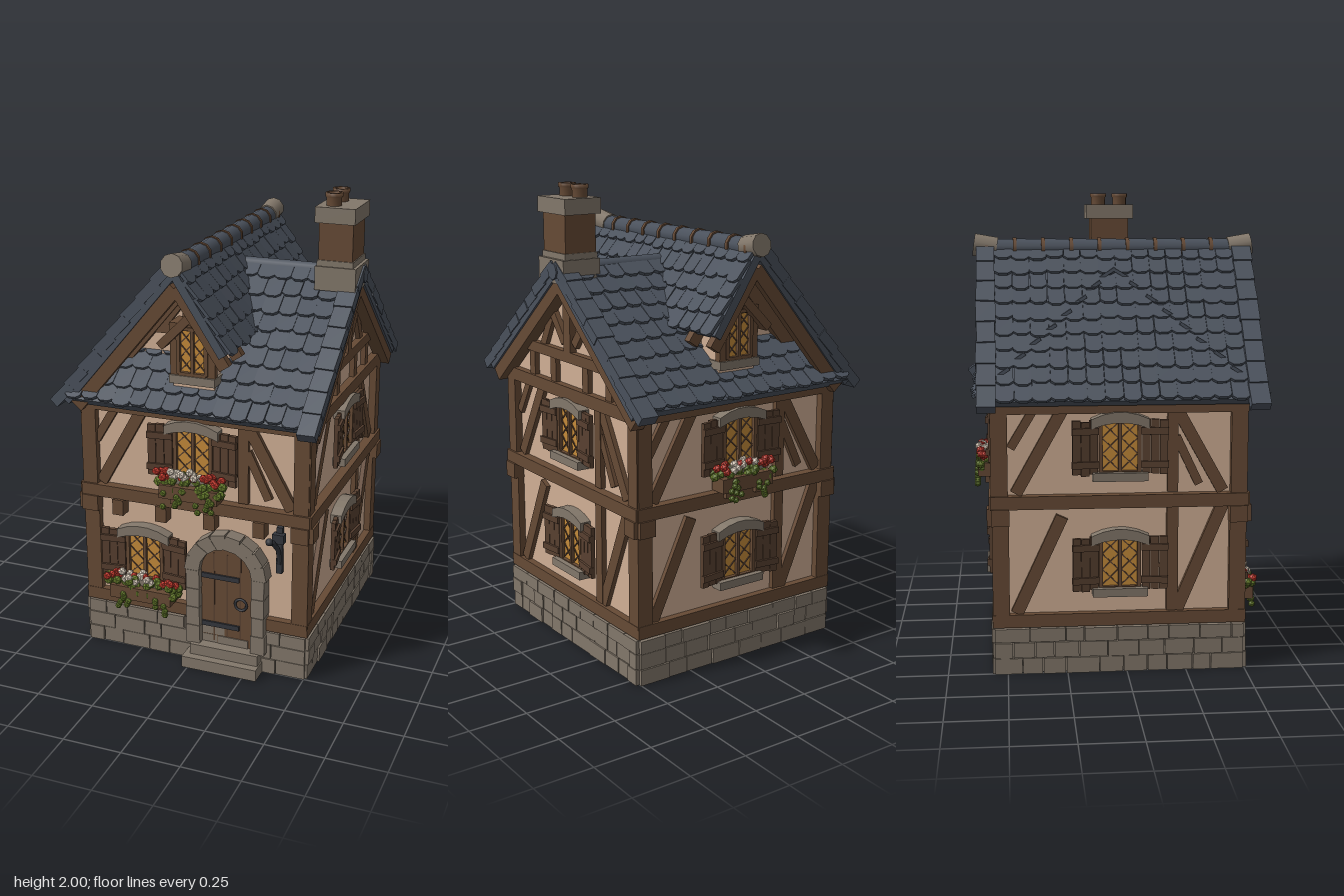
import * as THREE from 'three';
import { mergeGeometries } from 'three/addons/utils/BufferGeometryUtils.js';

const paint = (name, color) => Object.assign(new THREE.MeshStandardMaterial({ color }), { name });
const M = {
  plaster: paint('plaster', 0xd0af95), timber: paint('timber', 0x664a35), stone: paint('stone', 0x82776a),
  slate: paint('slate', 0x4a515c), plank: paint('plank', 0x584030), glass: paint('glass', 0xc48a3a),
  leaf: paint('leaf', 0x667c2c), red: paint('red petal', 0xc0382c), white: paint('white petal', 0xdccfbe),
  iron: paint('iron', 0x34363c),
};
let seed = 7;
const rnd = () => (seed = (seed * 16807) % 2147483647) / 2147483647;
const jit = (a) => (rnd() - 0.5) * 2 * a;

function add(parent, name, geo, mat, x = 0, y = 0, z = 0, rx = 0, ry = 0, rz = 0) {
  const m = new THREE.Mesh(geo, mat);
  m.name = name;
  m.position.set(x, y, z);
  m.rotation.set(rx, ry, rz);
  parent.add(m);
  return m;
}
const box = (p, name, mat, x, y, z, w, h, d, rx, ry, rz) => add(p, name, new THREE.BoxGeometry(w, h, d), mat, x, y, z, rx, ry, rz);
function group(parent, name, x = 0, y = 0, z = 0, ry = 0) {
  const g = new THREE.Group();
  g.name = name;
  g.position.set(x, y, z);
  g.rotation.y = ry;
  parent.add(g);
  return g;
}
// Timber laid on a wall between two points
function beam(p, x1, y1, x2, y2, w = 0.05, d = 0.03, z = 0, mat = M.timber) {
  const len = Math.hypot(x2 - x1, y2 - y1);
  return box(p, 'timber', mat, (x1 + x2) / 2, (y1 + y2) / 2, z + d / 2, len, w, d, 0, 0, Math.atan2(y2 - y1, x2 - x1));
}
const prism = (pts, depth) => new THREE.ExtrudeGeometry(new THREE.Shape(pts.map(([x, y]) => new THREE.Vector2(x, y))), { depth, bevelEnabled: false });

// Leaded pane in a wooden frame
function pane(p, x, y, w, h, z) {
  box(p, 'glass', M.glass, x, y, z, w, h, 0.008);
  for (const s of [-1, 1]) {
    box(p, 'windowFrame', M.timber, x + s * w / 2, y, z + 0.008, 0.016, h, 0.024);
    box(p, 'windowFrame', M.timber, x, y + s * h / 2, z + 0.008, w, 0.014, 0.024);
    for (let i = -1; i <= 1; i++) for (const k of [-1, 1]) {
      const cx = x + k * w * 0.25, cy = y + i * h * 0.3;
      beam(p, cx - s * w * 0.2, cy - h * 0.14, cx + s * w * 0.2, cy + h * 0.14, 0.005, 0.004, z + 0.004, M.plank);
    }
  }
  box(p, 'mullion', M.timber, x, y, z + 0.008, 0.014, h, 0.02);
}
function flowerBox(p, x, y, w) {
  const g = group(p, 'flowerBox', x, y, 0.05);
  box(g, 'trough', M.timber, 0, 0, 0, w * 0.84, 0.06, 0.08);
  for (const s of [-1, 1]) box(g, 'bracket', M.timber, s * w * 0.25, -0.045, -0.02, 0.03, 0.04, 0.06);
  const blobs = { leaf: [], red: [], white: [] };
  for (let i = 0; i < 44; i++) {
    const u = ((i + 0.5) / 44 - 0.5) * w;
    blobs.leaf.push(new THREE.IcosahedronGeometry(0.021, 0).translate(u, 0.005 + rnd() * 0.055, jit(0.036)));
  }
  // Red blooms gather at both ends, pale ones in the middle
  for (let i = 0; i < 26; i++) {
    const k = (i + 0.5) / 26 - 0.5, kind = k > 0.16 || k < -0.34 ? 'red' : i % 5 === 4 ? 'red' : 'white';
    blobs[kind].push(new THREE.IcosahedronGeometry(0.019, 0).translate(k * w * 0.94, 0.048 + rnd() * 0.04, 0.012 + jit(0.026)));
  }
  for (let i = 0; i < 14; i++) blobs.leaf.push(new THREE.IcosahedronGeometry(0.015, 0).translate((i % 2 ? 1 : -1) * w * 0.24 + jit(0.04), -0.005 - i * 0.005, 0.043));
  for (const k in blobs) add(g, k === 'leaf' ? 'leaves' : k + 'Flowers', mergeGeometries(blobs[k]), M[k]);
}
function windowUnit(p, x, y, flowers = 0) {
  const g = group(p, 'window', x, y, 0);
  pane(g, 0, 0, 0.16, 0.22, 0.012);
  const arch = new THREE.Shape();
  arch.moveTo(-0.12, 0.075);
  arch.lineTo(-0.12, 0.115);
  arch.quadraticCurveTo(0, 0.175, 0.12, 0.115);
  arch.lineTo(0.12, 0.075);
  arch.quadraticCurveTo(0, 0.125, -0.12, 0.075);
  add(g, 'lintel', new THREE.ExtrudeGeometry(arch, { depth: 0.05, bevelEnabled: false, curveSegments: 5 }), M.stone);
  box(g, 'sill', M.stone, 0, -0.125, 0.028, 0.23, 0.035, 0.056);
  for (const s of [-1, 1]) {
    const sh = group(g, 'shutter', s * 0.145, -0.005, 0.03, s * -0.12);
    for (let i = -1; i <= 1; i++) box(sh, 'shutterBoard', M.plank, i * 0.036, jit(0.006), 0, 0.034, 0.225, 0.018);
    for (const v of [-0.07, 0.07]) box(sh, 'shutterBatten', M.plank, 0, v, 0.01, 0.112, 0.028, 0.018);
  }
  if (flowers) flowerBox(g, 0, -0.165, flowers);
}
// Rough masonry facing in three courses
function stoneCourses(p, w) {
  const h = [0.07, 0.068, 0.06];
  let y = 0;
  h.forEach((c) => {
    for (let u = -w / 2; u < w / 2 - 0.001;) {
      let l = 0.07 + rnd() * 0.08;
      if (w / 2 - u - l < 0.05) l = w / 2 - u;
      box(p, 'stoneBlock', M.stone, u + l / 2, y + c / 2, 0.012 + rnd() * 0.008, l - 0.004, c - 0.003, 0.04);
      u += l;
    }
    y += c;
  });
}
// Slate slope: local x along the eave, y up the slope, z outward
function slope(root, name, [ex, ey, ez], ry, run, rise, bottom, top, verges = []) {
  const holder = group(root, name, ex, ey, ez, ry);
  const g = group(holder, 'slope');
  g.rotation.x = -Math.atan2(run, rise);
  const L = Math.hypot(run, rise);
  add(g, 'roofDeck', prism([[bottom[0], 0], [bottom[1], 0], [top[1], L], [top[0], L]], 0.035), M.slate, 0, 0, -0.035);
  const tiles = [], rows = Math.round(L / 0.083), step = L / rows;
  for (let r = 0; r < rows; r++) {
    const k = r / rows, a = bottom[0] + (top[0] - bottom[0]) * k, b = bottom[1] + (top[1] - bottom[1]) * k;
    const n = Math.round((b - a) / 0.075), w = (b - a) / n;
    for (let i = 0; i < n; i++) {
      const hw = w * (0.47 + rnd() * 0.05), t = step + 0.01, c = -0.01 + jit(0.008);
      const geo = prism([[-hw, c + 0.014], [-hw * 0.5, c], [hw * 0.5, c], [hw, c + 0.014], [hw, t], [-hw, t]], 0.014);
      geo.rotateX(-0.14 + jit(0.03));
      tiles.push(geo.translate(a + (i + 0.5) * w, r * step, 0.012));
    }
  }
  add(g, 'slates', mergeGeometries(tiles), M.slate);
  // Raised slates along the verges
  const n = Math.round(L / 0.1), vl = (L + 0.04) / n;
  for (const u of verges) {
    for (let i = 0; i < n; i++) box(g, 'vergeSlate', M.slate, u, (i + 0.5) * vl - 0.04, 0.012, 0.08 + jit(0.006), vl + 0.012, 0.045, -0.07, 0, jit(0.03));
  }
}

export function createModel() {
  const root = new THREE.Group();
  root.name = 'cottage';
  box(root, 'walls', M.plaster, 0, 0.63, -0.03, 0.96, 1.06, 1);
  box(root, 'foundation', M.stone, 0, 0.1, -0.03, 0.98, 0.2, 1.02);

  // Four timbered wall faces
  const faces = [['front', 0, 0, 0.47, 0, 0.48], ['right', 0.48, 0, -0.03, Math.PI / 2, 0.5],
    ['back', 0, 0, -0.53, Math.PI, 0.48], ['left', -0.48, 0, -0.03, -Math.PI / 2, 0.5]];
  const F = {};
  for (const [name, x, y, z, ry, h] of faces) {
    const f = F[name] = group(root, name + 'Wall', x, y, z, ry);
    const front = name === 'front';
    stoneCourses(f, h * 2 + 0.05);
    if (!front) beam(f, -h - 0.03, 0.23, h + 0.03, 0.23, 0.055, 0.032);
    else for (const [a, b] of [[-h - 0.03, -0.02], [0.33, h + 0.03]]) beam(f, a, 0.23, b, 0.23, 0.055, 0.032);
    beam(f, -h - 0.035, 0.735, h + 0.035, 0.735, 0.055, 0.042);
    beam(f, -h - 0.03, 1.13, h + 0.03, 1.13, 0.055, 0.034);
    for (const s of [-1, 1]) {
      box(f, 'cornerPost', M.timber, s * (h - 0.005), 0.48, 0.005, 0.07, 0.48, 0.05);
      box(f, 'cornerPost', M.timber, s * (h - 0.005), 0.93, 0.005, 0.065, 0.4, 0.055);
      box(f, 'postCorbel', M.timber, s * (h - 0.005), 0.675, 0.02, 0.075, 0.07, 0.06);
      beam(f, s * 0.43, 0.77, s * 0.24, 1.11, 0.05, 0.02);
      if (!front) beam(f, s * 0.43, s < 0 ? 0.26 : 0.71, s * 0.24, s < 0 ? 0.67 : 0.26, 0.052, 0.02);
    }
    beam(f, 0.22, 0.77, 0.22, 1.11, 0.045, 0.022);
    beam(f, 0.235, 1.0, 0.33, 0.8, 0.036, 0.018);
    beam(f, -0.45, 0.96, -0.36, 1.11, 0.036, 0.018);
    if (!front) {
      beam(f, 0.22, 0.26, 0.22, 0.71, 0.048, 0.022);
      windowUnit(f, 0, 0.475);
    }
    windowUnit(f, 0, 0.965, front || name === 'back' ? 0.31 : 0);
  }
  windowUnit(F.front, -0.23, 0.455, 0.34);
  for (const x of [-0.34, -0.14, 0.08, 0.3]) box(F.front, 'jettyCorbel', M.timber, x, 0.675, 0.025, 0.05, 0.07, 0.06);

  // Arched door with stone surround and steps
  const door = group(F.front, 'door', 0.155, 0, 0);
  const arch = new THREE.Shape();
  arch.moveTo(-0.12, 0.09);
  arch.lineTo(0.12, 0.09);
  arch.lineTo(0.12, 0.44);
  arch.absarc(0, 0.44, 0.12, 0, Math.PI);
  add(door, 'doorLeaf', new THREE.ExtrudeGeometry(arch, { depth: 0.035, bevelEnabled: false }), M.timber);
  for (const x of [-0.06, 0, 0.06]) box(door, 'doorSeam', M.plank, x, 0.32, 0.035, 0.006, 0.42, 0.004);
  for (const y of [0.19, 0.42]) box(door, 'strapHinge', M.iron, -0.03, y, 0.038, 0.17, 0.022, 0.01);
  add(door, 'doorRing', new THREE.TorusGeometry(0.026, 0.006, 6, 14), M.iron, 0.065, 0.31, 0.045);
  for (const s of [-1, 1]) for (let i = 0; i < 4; i++) box(door, 'jambStone', M.stone, s * 0.147, 0.14 + i * 0.088, 0.03, 0.058 + jit(0.006), 0.086, 0.075);
  for (let i = 0; i < 8; i++) {
    const a = (i + 0.5) * Math.PI / 8;
    box(door, 'archStone', M.stone, Math.cos(a) * 0.15, 0.445 + Math.sin(a) * 0.15, 0.03, 0.065, 0.066, 0.07 + jit(0.006), 0, 0, a);
  }
  box(door, 'upperStep', M.stone, 0, 0.05, 0.04, 0.31, 0.1, 0.09);
  box(door, 'lowerStep', M.stone, -0.01, 0.026, 0.07, 0.34, 0.052, 0.1);

  // Iron hanging bracket
  const iron = group(F.front, 'ironBracket', 0.385, 0, 0);
  box(iron, 'bracketPlate', M.iron, 0, 0.59, 0.025, 0.025, 0.21, 0.02);
  box(iron, 'bracketCollar', M.iron, 0, 0.65, 0.04, 0.05, 0.04, 0.03);
  const hook = new THREE.CatmullRomCurve3([[0.53, 0.03], [0.6, 0.05], [0.64, 0.09], [0.67, 0.125], [0.675, 0.15], [0.69, 0.165]].map(([y, z]) => new THREE.Vector3(0, y, z)));
  add(iron, 'bracketArm', new THREE.TubeGeometry(hook, 16, 0.011, 6), M.iron);
  add(iron, 'bracketKnob', new THREE.SphereGeometry(0.016, 8, 6), M.iron, 0, 0.688, 0.162);

  // Main roof with its gable on the right
  add(root, 'gableWall', prism([[-0.5, 1.15], [0.5, 1.15], [0, 1.6]], 0.48), M.plaster, 0, 0, -0.03, 0, Math.PI / 2, 0);
  slope(root, 'frontRoof', [0, 1.165, 0.57], 0, 0.595, 0.5, [-0.54, 0.56], [-0.13, 0.56], [0.525]);
  slope(root, 'backRoof', [0, 1.165, -0.615], Math.PI, 0.59, 0.5, [-0.56, 0.54], [-0.56, 0.13], [-0.525]);
  add(root, 'mainRidge', new THREE.CylinderGeometry(0.035, 0.035, 0.6, 8), M.slate, 0.27, 1.65, -0.025, 0, 0, Math.PI / 2);
  const gable = F.right;
  beam(gable, -0.41, 1.285, 0.41, 1.285, 0.045, 0.03);
  beam(gable, 0, 1.3, 0, 1.62, 0.055, 0.03);
  for (const s of [-1, 1]) {
    beam(gable, s * 0.565, 1.12, 0, 1.605, 0.075, 0.06, 0.01);
    for (const u of [0.13, 0.31]) beam(gable, s * u, 1.15, s * u, 1.27, 0.045, 0.022);
    beam(gable, s * 0.04, 1.34, s * 0.15, 1.48, 0.04, 0.022);
    beam(gable, s * 0.22, 1.3, s * 0.15, 1.43, 0.04, 0.02);
  }

  // Tall cross roof with gables at front and back
  const ridgeX = -0.045;
  add(root, 'crossGableWall', prism([[-0.5, 1.14], [0.13, 1.14], [0.13, 1.45], [ridgeX, 1.7], [-0.5, 1.17]], 0.8), M.plaster, 0, 0, -0.42);
  slope(root, 'leftRoof', [-0.555, 1.16, 0], -Math.PI / 2, 0.51, 0.61, [-0.61, 0.57], [-0.61, 0.57], [-0.575, 0.535]);
  slope(root, 'rightRoof', [0.175, 1.43, 0], Math.PI / 2, 0.22, 0.34, [-0.57, 0.61], [-0.57, 0.61]);
  for (let i = 0; i < 9; i++) {
    const z = -0.51 + i * 0.122;
    add(root, 'ridgeTile', new THREE.CylinderGeometry(0.04, 0.043, 0.12, 10), M.slate, ridgeX, 1.758, z, Math.PI / 2);
    add(root, 'ridgeJoint', new THREE.CylinderGeometry(0.047, 0.047, 0.016, 10), M.timber, ridgeX, 1.758, z - 0.06, Math.PI / 2);
  }
  for (const z of [-0.575, 0.535]) add(root, 'ridgeEnd', new THREE.CylinderGeometry(0.048, 0.046, 0.1, 10), M.stone, ridgeX, 1.768, z, Math.sign(z) * (Math.PI / 2 - 0.15));

  // Gable timbers and attic window, front and back
  for (const s of [1, -1]) {
    const g = group(root, s > 0 ? 'frontGable' : 'backGable', 0, 0, s > 0 ? 0.38 : -0.42, s > 0 ? 0 : Math.PI);
    const r = s * ridgeX, c = s * 0.01;
    for (const z of [0, 0.145]) {
      beam(g, r, 1.68, s * 0.165, 1.37, 0.05, 0.035, z);
      beam(g, r, 1.675, s * -0.5, 1.13, 0.06, 0.035, z);
    }
    beam(g, r, 1.5, r, 1.7, 0.045, 0.05, 0);
    beam(g, s * -0.2, 1.46, s * 0.12, 1.46, 0.04, 0.025, 0);
    beam(g, s * -0.17, 1.47, r - s * 0.01, 1.62, 0.035, 0.025, 0);
    for (const k of [-1, 1]) beam(g, c + k * 0.13, 1.43, c, 1.56, 0.035, 0.17, 0);
    add(g, 'atticWindowBay', prism([[-0.09, 1.2], [0.09, 1.2], [0.09, 1.46], [0, 1.55], [-0.09, 1.46]], 0.12), M.plaster, c);
    pane(g, c, 1.41, 0.12, 0.19, 0.122);
    for (const k of [-1, 1]) box(g, 'atticJamb', M.timber, c + k * 0.08, 1.4, 0.12, 0.034, 0.25, 0.03);
    box(g, 'atticLintel', M.timber, c, 1.51, 0.085, 0.2, 0.03, 0.1);
    box(g, 'atticSill', M.stone, c, 1.29, 0.08, 0.2, 0.035, 0.13);
  }

  // Chimney with two pots
  const ch = group(root, 'chimney', 0.468, 0, 0);
  box(ch, 'chimneyFoot', M.stone, 0.004, 1.65, 0, 0.175, 0.1, 0.2);
  box(ch, 'chimneyCollar', M.stone, 0, 1.71, 0, 0.155, 0.03, 0.185);
  box(ch, 'chimneyShaft', M.timber, 0, 1.8, 0, 0.145, 0.18, 0.175);
  box(ch, 'chimneyCap', M.stone, 0, 1.915, 0, 0.17, 0.065, 0.22);
  const pot = [[0.024, 1.96], [0.024, 2], [0.037, 2], [0.037, 1.985], [0.032, 1.98], [0.032, 1.94]].reverse().map(([x, y]) => new THREE.Vector2(x, y));
  for (const z of [-0.05, 0.05]) {
    add(ch, 'chimneyPot', new THREE.LatheGeometry(pot, 12), M.timber, -0.022, 0, z);
    add(ch, 'potFlue', new THREE.CylinderGeometry(0.025, 0.025, 0.02, 12), M.plank, -0.022, 1.955, z);
  }
  return root;
}
